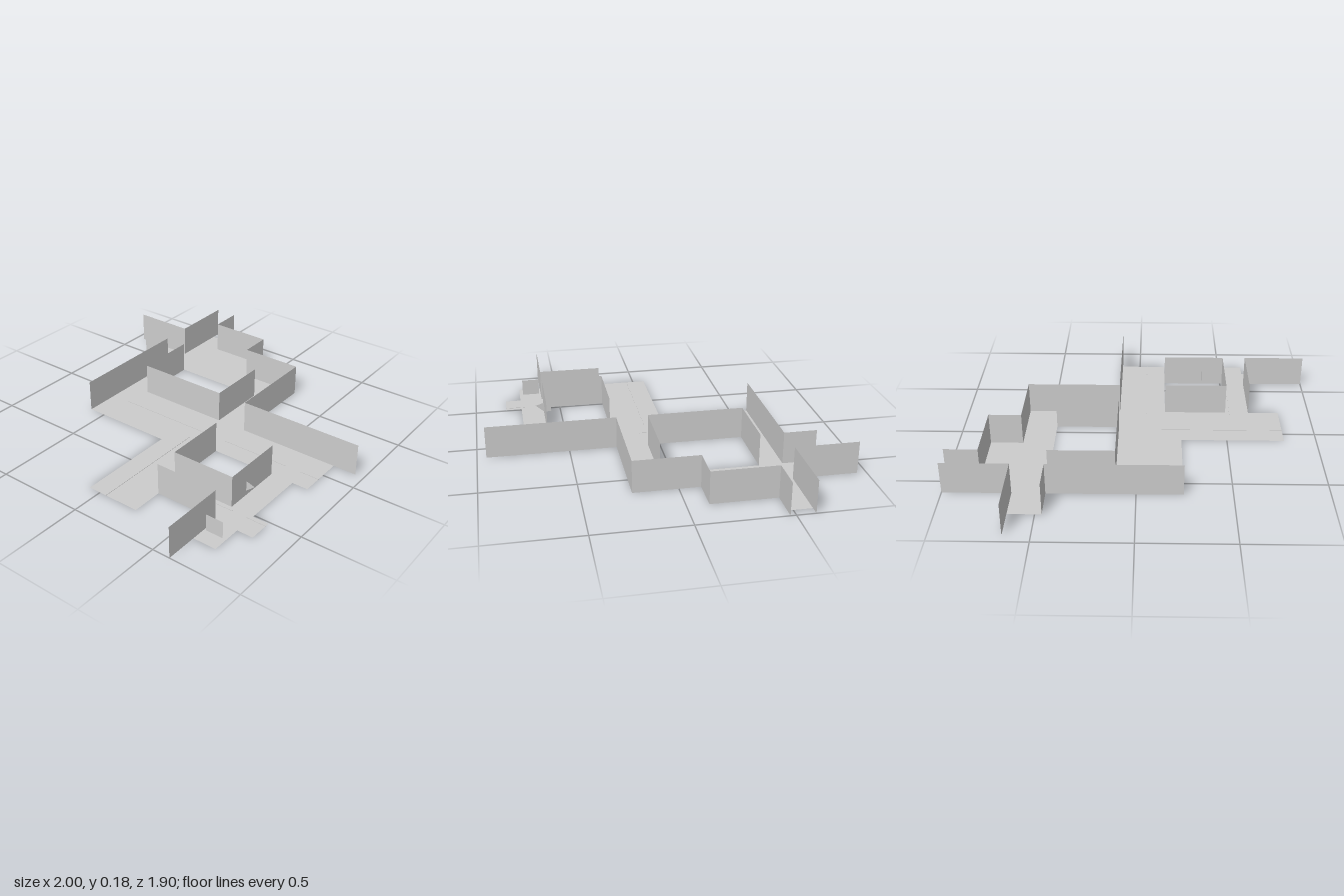
import * as THREE from 'three';

const HEIGHT = 0.18;

export function createModel() {
  const model = new THREE.Group();
  model.name = 'streetLayout';
  const grey = new THREE.MeshStandardMaterial({ color: 0xcccccc, side: THREE.DoubleSide });
  grey.name = 'plainGrey';

  const add = (name, geometry) => {
    const mesh = new THREE.Mesh(geometry, grey);
    mesh.name = name;
    model.add(mesh);
    return mesh;
  };
  const toPoints = (list) => list.map(([a, b]) => new THREE.Vector2(a, b));

  // Street surface, drawn as (x, z), with two open city blocks
  const street = new THREE.Shape(toPoints([
    [0.64, -0.78], [0.64, -0.6], [0.95, -0.6], [0.95, -0.47], [0.82, -0.47], [0.82, -0.115],
    [0.64, -0.115], [0.64, 0.24], [0.11, 0.24], [0.11, 0.82], [-0.155, 0.82], [-0.155, 0.73],
    [-0.51, 0.73], [-0.51, 0.82], [-0.645, 0.82], [-0.645, 0.73], [-0.82, 0.73], [-0.82, 0.6],
    [-0.645, 0.6], [-0.645, 0.24], [-0.82, 0.24], [-0.82, -0.07], [-0.245, -0.07],
    [-0.245, -0.6], [0.465, -0.6], [0.465, -0.78],
  ]));
  const blocks = [
    [[0.11, -0.47], [0.465, -0.47], [0.465, 0.065], [0.11, 0.065]],
    [[-0.51, 0.24], [-0.155, 0.24], [-0.155, 0.6], [-0.51, 0.6]],
  ];
  blocks.forEach((b) => street.holes.push(new THREE.Path(toPoints(b))));
  add('streetSurface', new THREE.ShapeGeometry(street).rotateX(Math.PI / 2));

  // Facades: thin upright planes following (x, z) paths
  const facade = (name, path) => {
    for (let i = 0; i < path.length - 1; i++) {
      const [x0, z0] = path[i];
      const [x1, z1] = path[i + 1];
      const wall = add(name, new THREE.PlaneGeometry(Math.hypot(x1 - x0, z1 - z0), HEIGHT));
      wall.position.set((x0 + x1) / 2, HEIGHT / 2, (z0 + z1) / 2);
      wall.rotation.y = -Math.atan2(z1 - z0, x1 - x0);
    }
  };
  facade('eastFacade', [[0.11, 0.95], [0.11, 0.24], [0.64, 0.24], [0.64, -0.115],
    [0.82, -0.115], [0.82, -0.47], [1, -0.47]]);
  facade('rearFacade', [[-0.245, -0.6], [0.465, -0.6], [0.465, -0.78]]);
  facade('rearCornerFacade', [[0.64, -0.95], [0.64, -0.6], [1, -0.6]]);
  facade('westFacade', [[-1, 0.6], [-0.645, 0.6], [-0.645, 0.24]]);
  // Block facades are open on their +x side
  blocks.forEach((b) => facade('blockFacade', [b[1], b[0], b[3], b[2]]));

  // Lane lines: hairline strips [x0, z0, x1, z1]
  [
    [-0.82, 0.04, -0.135, 0.04],
    [-0.045, -0.49, -0.045, 0.085],
    [-0.045, 0.22, -0.045, 0.62],
    [-0.045, 0.71, -0.045, 0.82],
    [-0.535, 0.22, -0.535, 0.62],
    [-0.535, 0.71, -0.535, 0.82],
  ].forEach(([x0, z0, x1, z1]) => {
    const line = add('laneLine', new THREE.BoxGeometry(x1 - x0 + 0.004, 0.002, z1 - z0 + 0.004));
    line.position.set((x0 + x1) / 2, 0.001, (z0 + z1) / 2);
  });

  // Small hanging signs, drawn as (-z, y) and turned to face sideways
  const sign = (x, outline) => {
    const shape = new THREE.Shape(toPoints(outline.map(([z, y]) => [-z, y])));
    add('sign', new THREE.ShapeGeometry(shape).rotateY(Math.PI / 2)).position.x = x;
  };
  sign(-0.735, [[0.61, 0], [0.71, 0], [0.71, 0.095], [0.61, 0.095]]);
  sign(-0.385, [[0.56, 0.03], [0.6, 0.027], [0.65, 0.07], [0.6, 0.085], [0.56, 0.11]]);

  return model;
}
